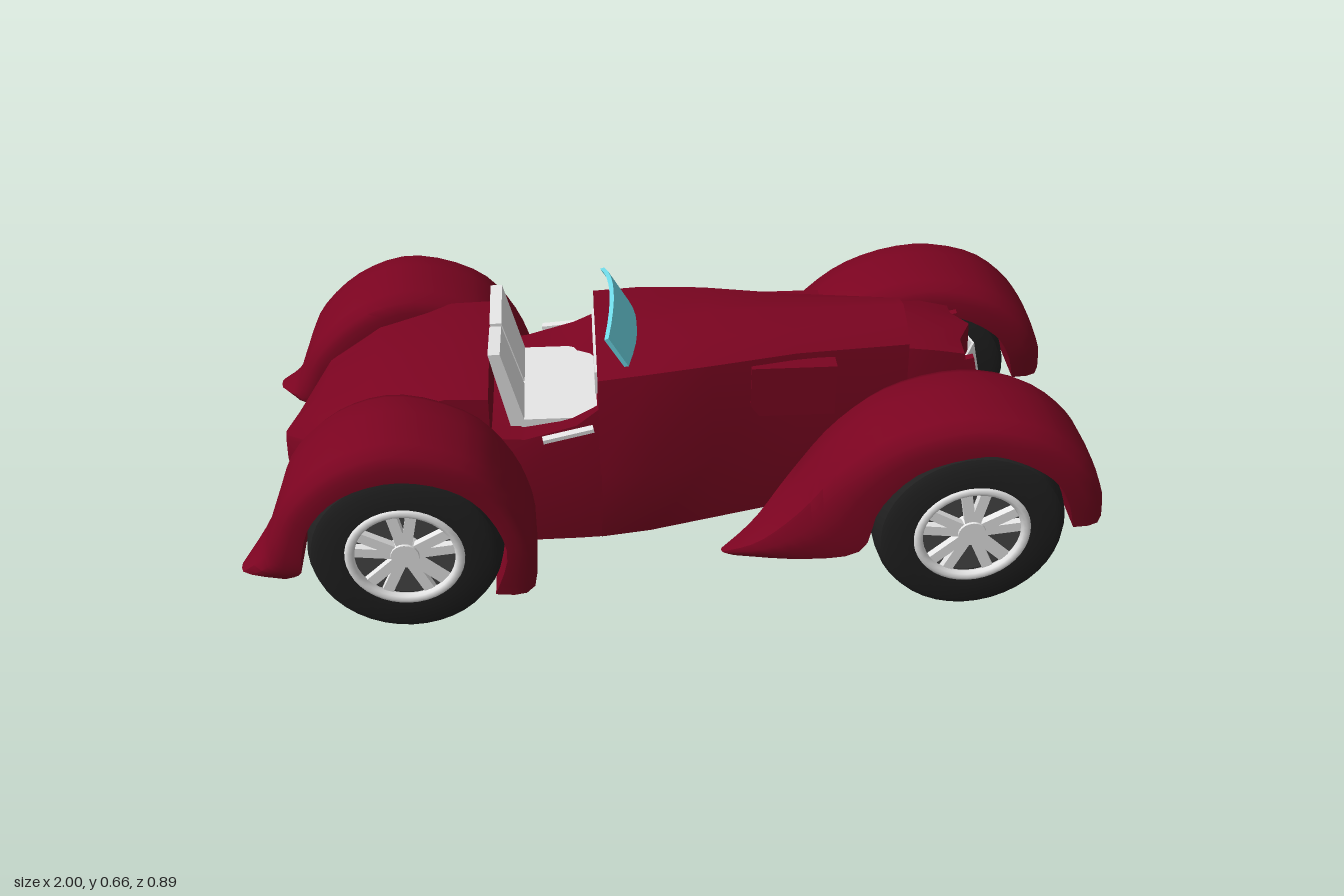
import * as THREE from 'three';
import { toCreasedNormals } from 'three/addons/utils/BufferGeometryUtils.js';

const material = (name, color) => new THREE.MeshStandardMaterial({ name, color });
const red = material('body red', 0x7a0420);
const black = material('tyre black', 0x202020);
const pale = material('pale grey', 0xe8e8e8);
const dark = material('wheel dark grey', 0x484848);
const blue = material('glass blue', 0x70dcea);

// Closed solid through equal-length rings; ring segments in `under` take the second material.
function loft(rings, under = [], crease = 0.6) {
  const main = [], second = [], n = rings[0].length;
  for (let k = 0; k < rings.length - 1; k++) {
    for (let i = 0; i < n; i++) {
      const j = (i + 1) % n, a = rings[k], b = rings[k + 1];
      (under.includes(i) ? second : main).push([a[i], b[i], b[j]], [a[i], b[j], a[j]]);
    }
  }
  [rings[0], rings[rings.length - 1]].forEach((ring, end) => {
    const c = [0, 1, 2].map(d => ring.reduce((s, p) => s + p[d], 0) / n);
    for (let i = 0; i < n; i++) {
      const j = (i + 1) % n;
      main.push(end ? [c, ring[j], ring[i]] : [c, ring[i], ring[j]]);
    }
  });
  // Turn all faces outwards
  const tris = [...main, ...second];
  const V = p => new THREE.Vector3(...p);
  const volume = tris.reduce((s, [a, b, c]) => s + V(a).dot(V(b).cross(V(c))), 0);
  const flat = tris.flatMap(([a, b, c]) => (volume < 0 ? [a, c, b] : [a, b, c])).flat();
  let geo = new THREE.BufferGeometry();
  geo.setAttribute('position', new THREE.Float32BufferAttribute(flat, 3));
  geo = toCreasedNormals(geo, crease);
  geo.clearGroups();
  geo.addGroup(0, main.length * 3, 0);
  if (second.length) geo.addGroup(main.length * 3, second.length * 3, 1);
  return geo;
}

// Body section: top x, bottom x, bottom half-width and y, side, shoulder, crown y, nose bulge
function bodyRing([xt, xb, wb, yb, ws, ys, wt, yt, yc, bulge = 0]) {
  const x = y => xb + (xt - xb) * (y - yb) / (Math.max(yt, yc) - yb);
  const ym = yt + (yc - yt) * 0.65;
  const half = [[x(yb), yb, wb], [x(ys), ys, ws], [x(yt), yt, wt], [x(ym), ym, wt * 0.55]];
  const mirrored = half.map(([a, b, c]) => [a, b, -c]).reverse();
  return [[xb + bulge, yb, 0], ...half, [x(yc) + bulge, yc, 0], ...mirrored];
}

// Smoothly resample rows of numbers
function resample(rows, count) {
  const last = rows.length - 1;
  return Array.from({ length: count + 1 }, (_, k) => {
    const t = k / count * last, i = Math.min(Math.floor(t), last - 1), f = t - i;
    const row = d => rows[Math.max(0, Math.min(last, i + d))];
    return rows[0].map((_, c) => {
      const [a, b, e, g] = [row(-1)[c], row(0)[c], row(1)[c], row(2)[c]];
      return b + 0.5 * f * (e - a + f * (2 * a - 5 * b + 4 * e - g + f * (3 * (b - e) + g - a)));
    });
  });
}

// Fender row: outer x, y, wheel-arch x, y, inner z, outer z
function fender(rows, side) {
  const shape = [[0, 0], [0, 0.5], [0.04, 0.78], [0.16, 0.96], [0.4, 1], [0.65, 1], [0.85, 0.95], [0.96, 0.75], [1, 0.45], [1, 0]];
  return loft(resample(rows, 32).map(([xo, yo, xi, yi, z0, z1]) =>
    shape.map(([u, t]) => [xi + (xo - xi) * t, yi + (yo - yi) * t, side * (z0 + (z1 - z0) * u)])), [], 0.75);
}

// V-shaped panel on the raked nose
const noseX = y => 0.782 - (y - 0.18) * 0.23;
function nosePanel(y0, y1, w, notch, depth) {
  return loft([-1, 0, 1].map(s => {
    const b = s ? 0 : 0.034, top = s ? y1 : y1 - notch;
    return [[0, y0], [depth, y0], [depth, top], [0, top]].map(([d, y]) => [noseX(y) + b + d, y, s * w]);
  }), [], 0.2);
}

export function createModel() {
  const model = new THREE.Group();
  const add = (name, geo, mat, x = 0, y = 0, z = 0, parent = model) => {
    const mesh = new THREE.Mesh(geo, mat);
    mesh.name = name;
    mesh.position.set(x, y, z);
    parent.add(mesh);
    return mesh;
  };
  const box = (...s) => new THREE.BoxGeometry(...s);
  const body = (name, sections) => add(name, loft(sections.map(bodyRing), [0, 9]), [red, pale]);

  // Bodywork: hood and nose, low cockpit tub, sloping tail
  body('hood', [
    [-0.168, -0.168, 0.22, 0.097, 0.245, 0.3, 0.2, 0.54, 0.555],
    [-0.05, -0.05, 0.21, 0.103, 0.24, 0.3, 0.195, 0.55, 0.57],
    [0.1, 0.1, 0.19, 0.118, 0.205, 0.3, 0.175, 0.555, 0.594],
    [0.3, 0.3, 0.16, 0.135, 0.17, 0.3, 0.135, 0.555, 0.596],
    [0.57, 0.57, 0.125, 0.155, 0.13, 0.3, 0.105, 0.55, 0.596]]);
  body('nose', [
    [0.56, 0.56, 0.125, 0.155, 0.128, 0.3, 0.105, 0.54, 0.578],
    [0.63, 0.69, 0.115, 0.165, 0.118, 0.3, 0.112, 0.535, 0.565],
    [0.7, 0.782, 0.11, 0.18, 0.114, 0.3, 0.108, 0.52, 0.535, 0.034]]);
  body('cockpitTub', [
    [-0.43, -0.43, 0.22, 0.096, 0.235, 0.3, 0.215, 0.4, 0.37],
    [-0.34, -0.34, 0.22, 0.095, 0.24, 0.3, 0.225, 0.4, 0.37],
    [-0.22, -0.22, 0.22, 0.096, 0.245, 0.3, 0.225, 0.435, 0.38],
    [-0.165, -0.165, 0.22, 0.098, 0.245, 0.3, 0.21, 0.47, 0.38]]);
  body('tail', [
    [-0.42, -0.42, 0.22, 0.097, 0.235, 0.3, 0.215, 0.51, 0.53],
    [-0.52, -0.52, 0.22, 0.105, 0.235, 0.3, 0.21, 0.51, 0.53],
    [-0.7, -0.7, 0.21, 0.135, 0.23, 0.3, 0.2, 0.46, 0.485],
    [-0.83, -0.83, 0.19, 0.165, 0.205, 0.28, 0.175, 0.375, 0.4],
    [-0.93, -0.93, 0.02, 0.19, 0.03, 0.23, 0.02, 0.275, 0.29]]);

  // Grille in two openings, set back behind a red surround
  add('upperGrille', nosePanel(0.335, 0.5, 0.088, 0.02, 0.006), pale);
  add('lowerGrille', nosePanel(0.22, 0.3, 0.09, 0, 0.006), pale);
  add('grilleCrossbar', nosePanel(0.298, 0.337, 0.11, 0, 0.022), red);
  add('grilleSill', nosePanel(0.182, 0.22, 0.11, 0, 0.022), red);

  // Curved, raked windshield
  add('windshield', loft(Array.from({ length: 9 }, (_, i) => {
    const u = i / 4 - 1, back = 0.018 * u * u, drop = 0.03 * u * u, z = 0.16 * u;
    return [[-0.066, 0.545], [-0.056, 0.545], [-0.122, 0.66], [-0.132, 0.656]]
      .map(([x, y]) => [x - back, y - drop, z]);
  })), blue);

  // Cockpit fittings
  add('seatCushion', box(0.18, 0.04, 0.31), pale, -0.26, 0.388, 0);
  add('dashboard', box(0.008, 0.06, 0.28), pale, -0.17, 0.495, 0);

  const frontRows = [
    [1.0, 0.24, 0.922, 0.235, 0.2, 0.42], [0.985, 0.33, 0.897, 0.32, 0.18, 0.43],
    [0.93, 0.425, 0.852, 0.388, 0.17, 0.435], [0.82, 0.51, 0.77, 0.44, 0.165, 0.435],
    [0.66, 0.54, 0.685, 0.456, 0.165, 0.43], [0.5, 0.5, 0.55, 0.413, 0.165, 0.425],
    [0.38, 0.41, 0.465, 0.31, 0.17, 0.42], [0.28, 0.28, 0.43, 0.18, 0.185, 0.41],
    [0.19, 0.19, 0.3, 0.145, 0.265, 0.39], [0.11, 0.15, 0.14, 0.14, 0.34, 0.36]];
  const rearRows = [
    [-0.325, 0.1, -0.42, 0.11, 0.2, 0.43], [-0.325, 0.24, -0.387, 0.23, 0.2, 0.435],
    [-0.37, 0.38, -0.425, 0.345, 0.2, 0.435], [-0.46, 0.49, -0.5, 0.423, 0.2, 0.44],
    [-0.62, 0.542, -0.62, 0.456, 0.19, 0.445], [-0.76, 0.5, -0.74, 0.422, 0.18, 0.445],
    [-0.87, 0.4, -0.82, 0.34, 0.18, 0.44], [-0.92, 0.29, -0.852, 0.24, 0.2, 0.435],
    [-0.95, 0.22, -0.86, 0.19, 0.23, 0.425], [-1.0, 0.18, -0.9, 0.16, 0.34, 0.405]];
  const tyreProfile = [[0, -0.1], [0.19, -0.1], [0.212, -0.092], [0.222, -0.07], [0.225, -0.04], [0.225, 0.04],
    [0.222, 0.07], [0.212, 0.092], [0.195, 0.1], [0.137, 0.1], [0.132, 0.065], [0, 0.065]];
  const tyre = toCreasedNormals(
    new THREE.LatheGeometry(tyreProfile.map(p => new THREE.Vector2(...p)), 40).rotateX(Math.PI / 2), 0.6);

  for (const side of [1, -1]) {
    const label = side > 0 ? 'left' : 'right';
    add(label + 'FrontFender', fender(frontRows, side), red);
    add(label + 'RearFender', fender(rearRows, side), red);

    // Upright of the grille surround
    add(label + 'GrilleUpright', box(0.024, 0.33, 0.018), red, noseX(0.345) + 0.008, 0.345, side * 0.1).rotation.z = 0.226;

    // Forward-facing scoop on the hood side, with a recessed pale intake
    add(label + 'ScoopSide', box(0.2, 0.126, 0.006), red, 0.29, 0.472, side * 0.168);
    add(label + 'ScoopTop', box(0.2, 0.008, 0.04), red, 0.29, 0.535, side * 0.151);
    add(label + 'ScoopFloor', box(0.2, 0.008, 0.04), red, 0.29, 0.409, side * 0.151);
    add(label + 'ScoopIntake', box(0.008, 0.12, 0.04), pale, 0.31, 0.472, side * 0.148);

    // Door trim
    const trim = add(label + 'DoorTrim', box(0.12, 0.01, 0.018), pale, -0.24, 0.42, side * 0.238);
    trim.rotation.set(0, side * 0.12, 0.15);

    // Reclined seat back with a sloping top
    add(label + 'SeatBack', loft([[0.006, 0.575], [0.155, 0.592]].map(([z, y]) =>
      [[-0.375, 0.39], [-0.338, 0.39], [-0.39, y], [-0.418, y]].map(([x, h]) => [x, h, side * z]))), pale);

    // Wheels with five split spokes
    for (const [end, x] of [['Front', 0.685], ['Rear', -0.62]]) {
      const wheel = new THREE.Group();
      wheel.name = label + end + 'Wheel';
      wheel.position.set(x, 0.229, side * 0.327);
      if (side < 0) wheel.rotation.y = Math.PI;
      model.add(wheel);
      add('tyre', tyre, black, 0, 0, 0, wheel);
      add('rim', new THREE.TorusGeometry(0.126, 0.012, 8, 40), pale, 0, 0, 0.094, wheel);
      add('rimBack', new THREE.CircleGeometry(0.13, 32), dark, 0, 0, 0.068, wheel);
      add('hub', new THREE.CylinderGeometry(0.032, 0.038, 0.03, 20).rotateX(Math.PI / 2), pale, 0, 0, 0.083, wheel);
      for (let i = 0; i < 10; i++) {
        const a = Math.PI / 2 + Math.floor(i / 2) * Math.PI * 0.4 + (i % 2 ? 0.2 : -0.2);
        add('spoke', box(0.105, 0.025, 0.018), pale, Math.cos(a) * 0.072, Math.sin(a) * 0.072, 0.084, wheel).rotation.z = a;
      }
    }
  }
  return model;
}
